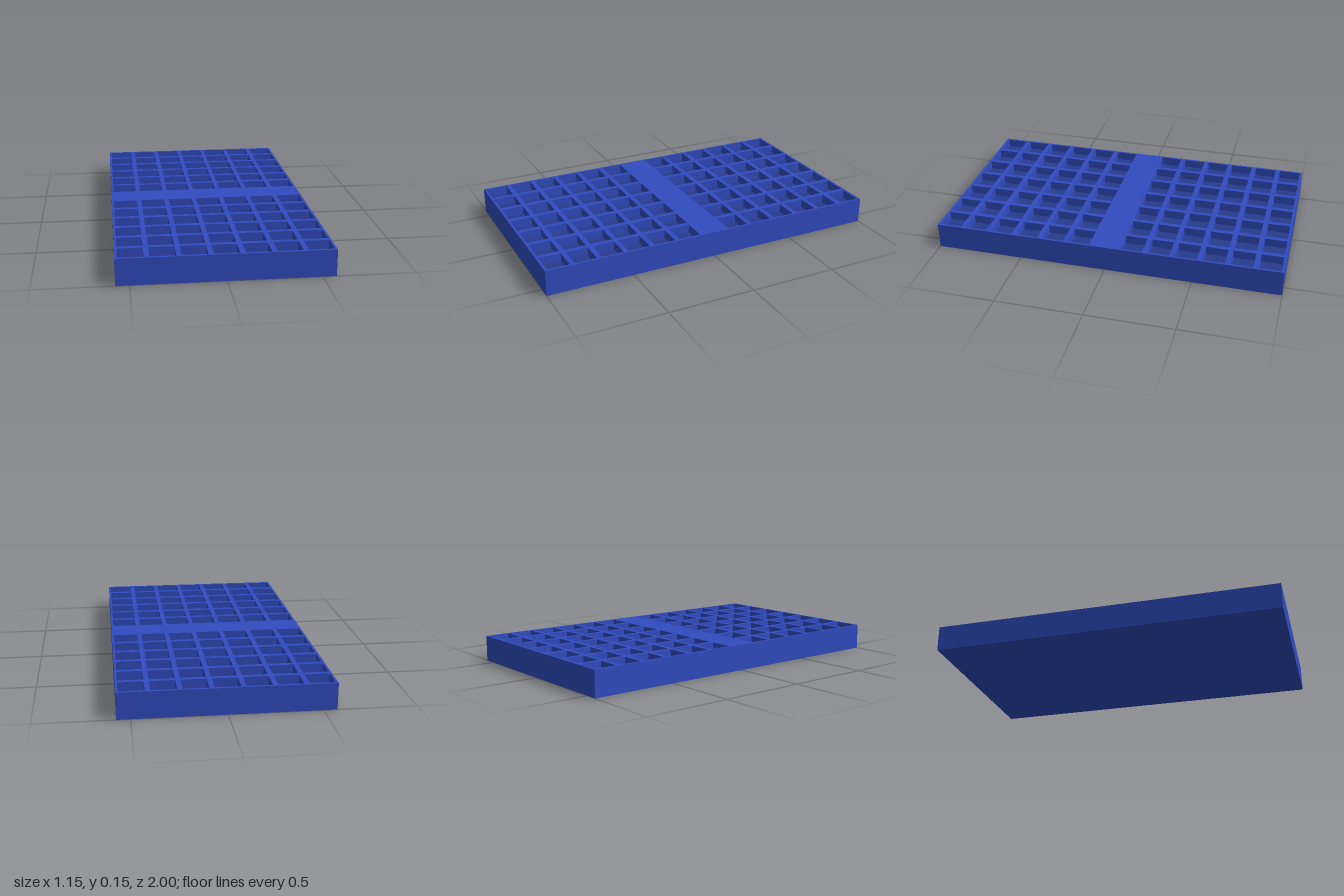
import * as THREE from 'three';

const W = 1.146, L = 2, H = 0.148;       // overall size
const FLOOR = 0.1;                       // height of the pocket floors
const COLS = 7, ROWS = 6;                // pockets across, rows per half
const PW = 0.136, PL = 0.126;            // pocket size in x and z
const PITCH_X = 0.164, PITCH_Z = 0.1542; // pocket spacing
const FIRST_Z = 0.152;                   // first row centre beside the middle band

function rectangle(path, x, z, w, l) {
  path.moveTo(x - w / 2, z - l / 2);
  path.lineTo(x + w / 2, z - l / 2);
  path.lineTo(x + w / 2, z + l / 2);
  path.lineTo(x - w / 2, z + l / 2);
  path.closePath();
  return path;
}

export function createModel() {
  const group = new THREE.Group();
  group.name = 'pocketTray';
  const bodyMaterial = new THREE.MeshStandardMaterial({ color: 0x304cc0 });
  const floorMaterial = new THREE.MeshStandardMaterial({ color: 0x273b8c });

  // solid slab below the pockets
  const baseHeight = FLOOR - 0.002;
  const base = new THREE.Mesh(new THREE.BoxGeometry(W, baseHeight, L), bodyMaterial);
  base.name = 'baseSlab';
  base.position.y = baseHeight / 2;
  group.add(base);

  // lattice of ribs with a plain band across the middle, and a floor per pocket
  const outline = rectangle(new THREE.Shape(), 0, 0, W, L);
  const floors = new THREE.Group();
  floors.name = 'pocketFloors';
  const floorGeometry = new THREE.PlaneGeometry(PW, PL).rotateX(-Math.PI / 2);
  for (const side of [-1, 1]) {
    for (let r = 0; r < ROWS; r++) {
      for (let c = 0; c < COLS; c++) {
        const x = (c - (COLS - 1) / 2) * PITCH_X;
        const z = side * (FIRST_Z + r * PITCH_Z);
        outline.holes.push(rectangle(new THREE.Path(), x, z, PW, PL));
        const floor = new THREE.Mesh(floorGeometry, floorMaterial);
        floor.name = 'pocketFloor';
        floor.position.set(x, FLOOR, z);
        floors.add(floor);
      }
    }
  }
  const ribGeometry = new THREE.ExtrudeGeometry(outline, { depth: H - baseHeight, bevelEnabled: false });
  ribGeometry.rotateX(-Math.PI / 2);
  const ribs = new THREE.Mesh(ribGeometry, bodyMaterial);
  ribs.name = 'ribLattice';
  ribs.position.y = baseHeight;
  group.add(ribs, floors);
  return group;
}
